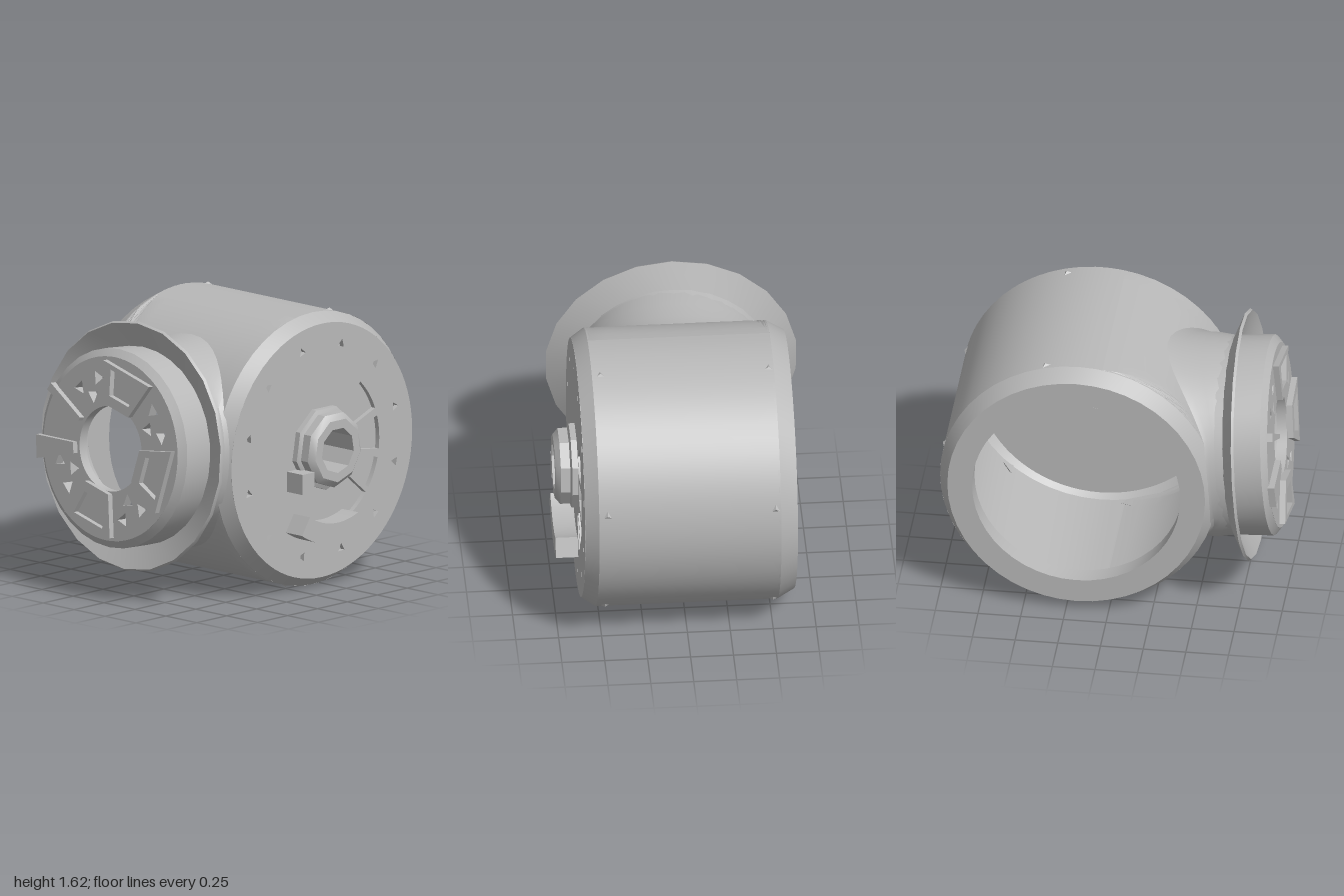
import * as THREE from 'three';
import { toCreasedNormals } from 'three/addons/utils/BufferGeometryUtils.js';

const grey = new THREE.MeshStandardMaterial({ color: 0xb8b8b8, side: THREE.DoubleSide });
grey.name = 'castGrey';

const RAD = Math.PI / 180;
const R = 0.81, CY = 0.82, CZ = -0.19; // drum radius and axis position
const HALF = 0.53;                     // half length of the straight drum wall

function add(parent, name, geometry) {
  const mesh = new THREE.Mesh(toCreasedNormals(geometry, 0.5), grey);
  mesh.name = name;
  parent.add(mesh);
  return mesh;
}

// Profile of [radius, height], turned around y
const lathe = (profile, sides) =>
  new THREE.LatheGeometry(profile.map(([r, h]) => new THREE.Vector2(r, h)), sides);

const extrude = (shape, depth, z) =>
  new THREE.ExtrudeGeometry(shape, { depth, bevelEnabled: false, curveSegments: 40 }).translate(0, 0, z);

// Surface through closed rings: point(ring, step) gives a Vector3
function loft(rings, steps, point) {
  const pos = [], index = [];
  for (let i = 0; i < rings; i++)
    for (let j = 0; j <= steps; j++) pos.push(...point(i, (j / steps) * Math.PI * 2).toArray());
  for (let i = 0; i < rings - 1; i++)
    for (let j = 0; j < steps; j++) {
      const a = i * (steps + 1) + j, b = a + steps + 1;
      index.push(a, a + 1, b, b, a + 1, b + 1);
    }
  const g = new THREE.BufferGeometry();
  g.setAttribute('position', new THREE.Float32BufferAttribute(pos, 3));
  g.setIndex(index);
  return g;
}

// Ring sector between two radii and two angles in degrees
function sector(r0, r1, a0, a1, Type = THREE.Shape) {
  const p = new Type();
  p.absarc(0, 0, r1, a0 * RAD, a1 * RAD, false);
  p.absarc(0, 0, r0, a1 * RAD, a0 * RAD, true);
  p.closePath();
  return p;
}

// Four-cornered sector with straight sides
function wedge(r0, r1, a0, a1, Type = THREE.Shape) {
  const pts = [[r0, a0], [r1, a0], [r1, a1], [r0, a1]];
  return new Type(pts.map(([r, a]) => new THREE.Vector2(r * Math.cos(a * RAD), r * Math.sin(a * RAD))));
}

function triangle(r, angle, size, turn) {
  const x = r * Math.cos(angle * RAD), y = r * Math.sin(angle * RAD);
  return new THREE.Path([0, 120, 240].map(a => new THREE.Vector2(
    x + size * Math.cos((a + turn) * RAD), y + size * Math.sin((a + turn) * RAD))));
}

function disc(radius, x = 0, y = 0, Type = THREE.Shape) {
  const p = new Type();
  p.absarc(x, y, radius, 0, Math.PI * 2, false);
  return p;
}

const drumPoint = (x, theta) =>
  new THREE.Vector3(x, CY + R * Math.sin(theta), CZ + R * Math.cos(theta));

// Point of the drum surface at x, y, including the chamfered ends
function onDrum(x, y) {
  const r = R - Math.max(0, Math.abs(x) - HALF) * 0.65;
  return new THREE.Vector3(x, y, CZ + Math.sqrt(r * r - (y - CY) ** 2));
}

function buildDrum(root) {
  const drum = new THREE.Group();
  drum.name = 'drum';
  root.add(drum);

  // Front wall around the neck opening
  const reach = 80 * RAD;
  add(drum, 'drumFrontWall', loft(9, 64, (i, a) => {
    const t = i / 8, c = Math.cos(a), s = Math.sin(a), m = Math.max(Math.abs(c), Math.abs(s));
    const hole = Math.asin((0.05 + 0.5 * s) / R);
    return drumPoint(THREE.MathUtils.lerp(0.5 * c, HALF * c / m, t),
      THREE.MathUtils.lerp(hole, reach * s / m, t));
  }));

  // Rear wall
  const rear = new THREE.CylinderGeometry(R, R, HALF * 2, 32, 1, true, -10 * RAD, 200 * RAD);
  rear.rotateZ(-Math.PI / 2).rotateX(Math.PI / 2);
  rear.computeBoundingBox();
  // turn the open side towards the neck
  const mid = (rear.boundingBox.min.y + rear.boundingBox.max.y) / 2;
  const midZ = (rear.boundingBox.min.z + rear.boundingBox.max.z) / 2;
  rear.rotateX(Math.PI - Math.atan2(-mid, midZ)).translate(0, CY, CZ);
  add(drum, 'drumRearWall', rear);

  // Chamfered closed end and open end with its inner lip
  const ends = {
    chamferLeft: [[R, 0.52], [R, HALF], [0.755, 0.61]],
    openRim: [[R, -0.52], [R, -HALF], [0.755, -0.63], [0.61, -0.63], [0.61, -0.52], [0.8, -0.52]],
  };
  for (const [name, profile] of Object.entries(ends))
    add(drum, name, lathe(profile, 48).rotateZ(-Math.PI / 2).translate(0, CY, CZ));

  // Small dimple marks near both ends of the wall
  for (const x of [-0.5, 0.48])
    for (const angle of [104, 166, 228, 282]) {
      const mark = add(drum, 'dimpleMark', new THREE.ConeGeometry(0.05, 0.025, 3));
      mark.position.copy(drumPoint(x, angle * RAD));
      mark.rotation.x = Math.PI / 2 - angle * RAD;
    }
}

function buildEndPlate(root) {
  const end = new THREE.Group();
  end.name = 'endPlate';
  end.position.set(0, CY, CZ);
  end.rotation.y = Math.PI / 2;
  root.add(end);

  // Plate with fan windows and small triangular slots
  const plate = disc(0.755);
  plate.holes.push(disc(0.2, 0, 0, THREE.Path));
  for (const [a0, a1] of [[22, 48], [-8, 16], [-36, -14], [-60, -40]])
    plate.holes.push(sector(0.28, 0.48, a0, a1, THREE.Path));
  for (let i = 0; i < 12; i++) plate.holes.push(triangle(0.63, 15 + i * 30, 0.03, i * 37));
  add(end, 'plate', extrude(plate, 0.03, 0.58));

  const back = disc(0.72);
  back.holes.push(disc(0.14, 0, 0, THREE.Path));
  add(end, 'recessFloor', extrude(back, 0.02, 0.47));

  // Stepped bearing hub with a through hole
  const hub = [[0.135, 0.47], [0.135, 0.74], [0.19, 0.74], [0.225, 0.71], [0.225, 0.655], [0.25, 0.645], [0.25, 0.58]];
  add(end, 'hub', lathe(hub, 9).rotateX(Math.PI / 2).translate(0, 0.02, 0));

  // Curved stop block below the hub, and a short tab beside it
  add(end, 'stopBlock', extrude(sector(0.43, 0.55, 237, 293), 0.14, 0.6).translate(0, 0.02, 0));
  add(end, 'hubTab', new THREE.BoxGeometry(0.1, 0.12, 0.13).translate(-0.24, -0.14, 0.67));
}

function buildNeck(root) {
  // Outer blend and inner bore from drum to front tube
  const ring = (r, z, a) => {
    const y = 0.89 + r * Math.sin(a);
    return new THREE.Vector3(-0.01 + r * Math.cos(a), y, z - 0.075 * (y - 0.89));
  };
  add(root, 'neck', loft(4, 48, (i, a) => {
    const foot = onDrum(0.6 * Math.cos(a), 0.87 + 0.62 * Math.sin(a));
    const top = ring(0.58, 0.66, a);
    const p = foot.clone().lerp(top, [0, 0.25, 0.6, 1][i]);
    if (i === 1) p.lerp(new THREE.Vector3(top.x, top.y, p.z), 0.5);
    return p;
  }));
  add(root, 'neckBore', loft(2, 48, (i, a) =>
    i ? ring(0.5, 0.87, a) : onDrum(0.5 * Math.cos(a), 0.87 + 0.5 * Math.sin(a))));

  const front = new THREE.Group();
  front.name = 'frontFlange';
  front.position.set(-0.015, 0.9, 0.745);
  front.rotation.x = -4.3 * RAD;
  root.add(front);

  add(front, 'flangeDish', lathe([[0.575, -0.075], [0.735, 0], [0.725, 0.015], [0.575, -0.05]], 22).rotateX(Math.PI / 2));
  add(front, 'frontTube', lathe([[0.58, -0.12], [0.585, 0.15], [0.54, 0.185]], 32).rotateX(Math.PI / 2));

  // Face with centre opening and clusters of triangular holes
  const face = disc(0.54);
  face.holes.push(disc(0.25, 0, 0, THREE.Path));
  for (let i = 0; i < 4; i++) {
    const a = 29 + i * 90;
    face.holes.push(triangle(0.33, a, 0.045, a + 40),
      triangle(0.42, a - 11, 0.045, a + 10), triangle(0.42, a + 11, 0.045, a + 75));
  }
  add(front, 'face', extrude(face, 0.06, 0.125));

  // Raised frames, with the last one left as two ribs
  for (const a of [75, -15, -105]) {
    const frame = wedge(0.265, 0.52, a - 22, a + 22);
    frame.holes.push(wedge(0.315, 0.47, a - 15, a + 15, THREE.Path));
    add(front, 'raisedFrame', extrude(frame, 0.04, 0.18));
  }
  add(front, 'raisedRib', extrude(wedge(0.27, 0.57, 146, 151), 0.04, 0.18));
  add(front, 'raisedRib', extrude(wedge(0.27, 0.57, 180, 194), 0.04, 0.18));
}

export function createModel() {
  const root = new THREE.Group();
  root.name = 'pipeHousing';
  buildDrum(root);
  buildEndPlate(root);
  buildNeck(root);
  return root;
}
